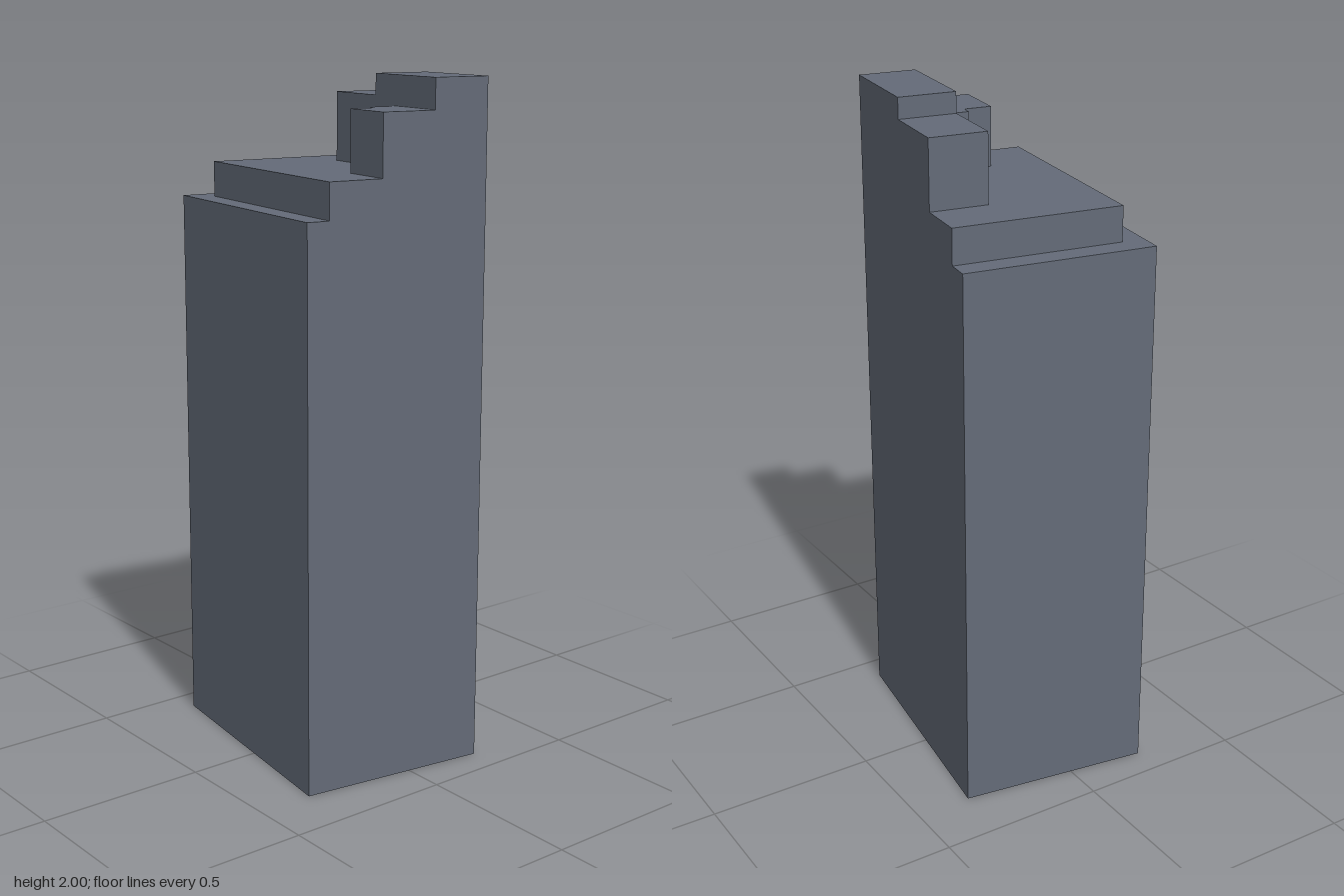
import * as THREE from 'three';

// Footprint limits in the building's own axes, and the roof levels
const L = -0.375, R = 0.375, B = -0.285, F = 0.285;
const LEDGE = 1.634, TERRACE = 1.737, STEP = 1.913, LOW = 1.939, TOP = 2;
const NONE = null;

// Each tier: roof height and corners [x, z, foot], counterclockwise from above.
// foot is where the wall under the edge leaving that corner starts (NONE = no wall).
const tiers = [
  { name: 'lowerLedge', top: LEDGE, corners: [
    [L, B, 0], [L, F, 0], [R, F, 0], [R, 0.217, NONE], [-0.305, 0.217, NONE], [-0.305, B, 0]] },
  { name: 'mainTerrace', top: TERRACE, corners: [
    [-0.305, B, LEDGE], [-0.305, 0.217, LEDGE], [R, 0.217, 0], [R, 0.052, NONE],
    [0.206, 0.052, NONE], [0.206, -0.031, NONE], [0.173, -0.031, NONE],
    [0.173, -0.113, NONE], [-0.15, -0.113, NONE], [-0.15, B, 0]] },
  { name: 'rearLowBlock', top: LOW, corners: [
    [-0.15, B, TERRACE], [-0.15, -0.113, TERRACE], [0.068, -0.113, NONE], [0.068, B, 0]] },
  { name: 'rearTallBlock', top: TOP, corners: [
    [0.068, B, LOW], [0.068, -0.113, TERRACE], [0.173, -0.113, STEP], [R, -0.113, 0], [R, B, 0]] },
  { name: 'sideStepBlock', top: STEP, corners: [
    [0.173, -0.113, TERRACE], [0.173, -0.031, TERRACE], [0.206, -0.031, TERRACE],
    [0.206, 0.052, TERRACE], [R, 0.052, 0], [R, -0.113, NONE]] },
];

// Roof polygon plus the walls hanging from its edges; the underside stays open
function tierGeometry({ top, corners }) {
  const pos = [];
  const outline = corners.map(([x, z]) => new THREE.Vector2(x, -z));
  for (const tri of THREE.ShapeUtils.triangulateShape(outline, [])) {
    for (const i of tri) pos.push(corners[i][0], top, corners[i][1]);
  }
  corners.forEach(([x, z, foot], i) => {
    if (foot === NONE) return;
    const [x2, z2] = corners[(i + 1) % corners.length];
    pos.push(x, foot, z, x2, foot, z2, x2, top, z2);
    pos.push(x, foot, z, x2, top, z2, x, top, z);
  });
  const geometry = new THREE.BufferGeometry();
  geometry.setAttribute('position', new THREE.Float32BufferAttribute(pos, 3));
  geometry.computeVertexNormals();
  return geometry;
}

export function createModel() {
  const group = new THREE.Group();
  group.name = 'steppedTower';
  const material = new THREE.MeshStandardMaterial({ color: 0x646b78, side: THREE.DoubleSide });
  for (const tier of tiers) {
    const mesh = new THREE.Mesh(tierGeometry(tier), material);
    mesh.name = tier.name;
    group.add(mesh);
  }
  // The tower stands slightly turned on its plot
  group.rotation.y = -0.1415;
  return group;
}
